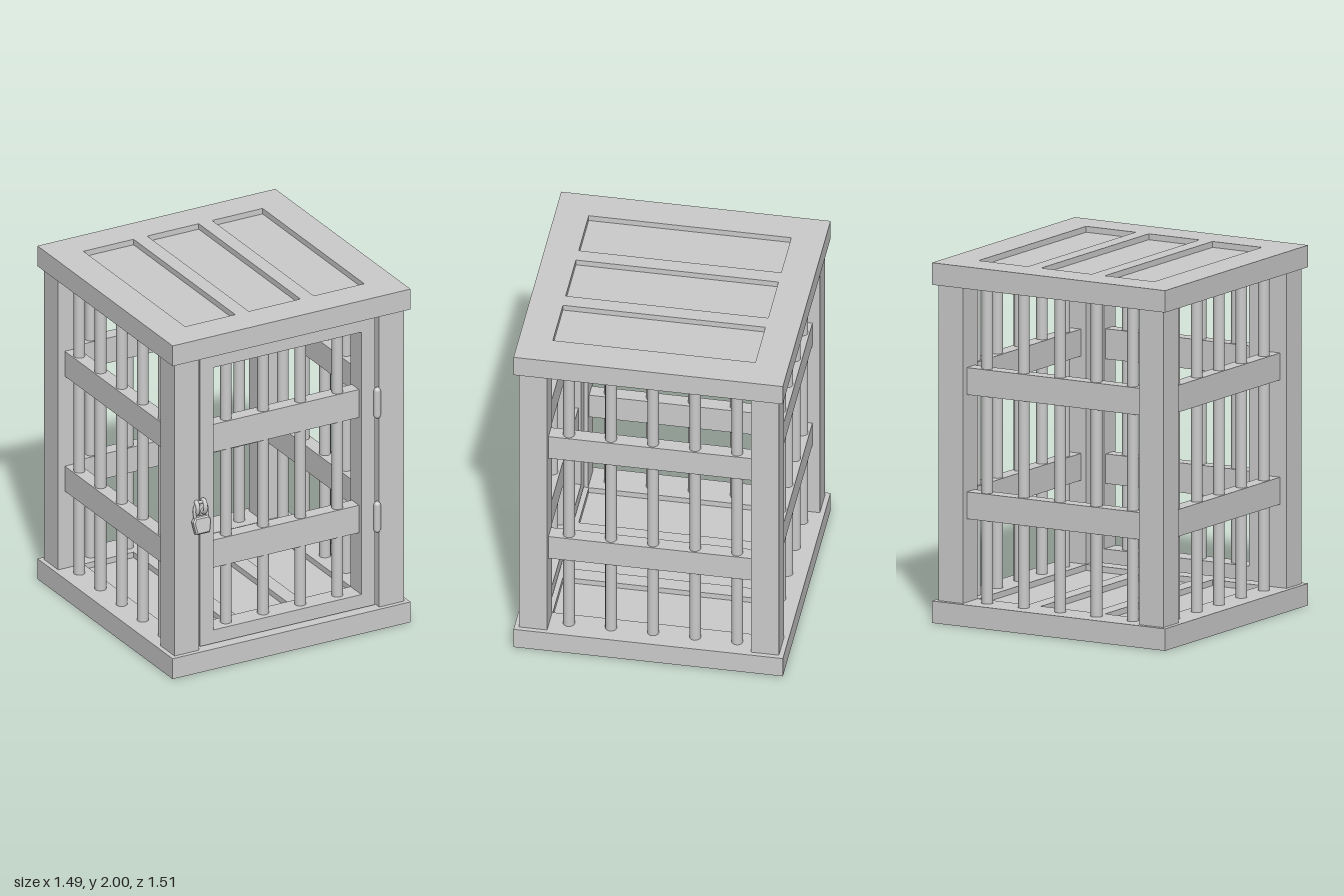
import * as THREE from 'three';

export function createModel() {
  const group = new THREE.Group();
  const cage = new THREE.Group();
  cage.name = 'cage';
  cage.position.z = -0.005;
  group.add(cage);
  const grey = new THREE.MeshStandardMaterial({ color: 0xcccccc });
  grey.name = 'grey';

  const add = (parent, name, geometry, x = 0, y = 0, z = 0) => {
    const mesh = new THREE.Mesh(geometry, grey);
    mesh.name = name;
    mesh.position.set(x, y, z);
    parent.add(mesh);
    return mesh;
  };
  // Box given by its minimum and maximum on each axis
  const box = (parent, name, x0, x1, y0, y1, z0, z1) =>
    add(parent, name, new THREE.BoxGeometry(x1 - x0, y1 - y0, z1 - z0),
      (x0 + x1) / 2, (y0 + y1) / 2, (z0 + z1) / 2);
  const bar = (parent, name, x, z, y0, y1) =>
    add(parent, name, new THREE.CylinderGeometry(0.032, 0.032, y1 - y0, 16, 1, true), x, (y0 + y1) / 2, z);
  const rect = (target, x0, x1, y0, y1) => {
    target.moveTo(x0, y0);
    target.lineTo(x1, y0);
    target.lineTo(x1, y1);
    target.lineTo(x0, y1);
    target.closePath();
    return target;
  };

  // Floor and roof: a frame with three sunken panels on either face
  const slabShape = rect(new THREE.Shape(), -0.745, 0.745, -0.745, 0.745);
  const openings = [[-0.562, -0.248], [-0.163, 0.16], [0.244, 0.56]];
  for (const [x0, x1] of openings) slabShape.holes.push(rect(new THREE.Path(), x0, x1, -0.56, 0.56));
  const slabGeometry = new THREE.ExtrudeGeometry(slabShape, { depth: 0.122, bevelEnabled: false });
  slabGeometry.rotateX(-Math.PI / 2);
  for (const [name, y] of [['floor', 0], ['roof', 1.878]]) {
    add(cage, name + 'Frame', slabGeometry, 0, y, 0);
    for (const [x0, x1] of openings)
      box(cage, name + 'Panel', x0, x1, y + 0.033, y + 0.089, -0.56, 0.56);
  }

  // Corner posts
  for (const sx of [-1, 1])
    for (const sz of [-1, 1])
      add(cage, 'cornerPost', new THREE.BoxGeometry(0.155, 1.756, 0.155), sx * 0.641, 1, sz * 0.641);

  // Barred walls on both sides and at the back
  for (const [name, turn] of [['leftWall', Math.PI / 2], ['rightWall', -Math.PI / 2], ['backWall', Math.PI]]) {
    const wall = new THREE.Group();
    wall.name = name;
    wall.rotation.y = turn;
    cage.add(wall);
    for (const y of [0.585, 1.275]) box(wall, 'wallRail', -0.564, 0.564, y, y + 0.15, 0.595, 0.677);
    for (let i = -2; i <= 2; i++) {
      const shift = turn === -Math.PI / 2 ? -0.008 : 0.008;
      bar(wall, 'wallBar', i * 0.2325 + shift, 0.637, 0.122, 1.878);
    }
  }

  // Door frame, rails and bars
  const door = new THREE.Group();
  door.name = 'door';
  cage.add(door);
  const doorShape = rect(new THREE.Shape(), -0.55, 0.545, 0.135, 1.87);
  doorShape.holes.push(rect(new THREE.Path(), -0.465, 0.46, 0.215, 1.79));
  add(door, 'doorFrame', new THREE.ExtrudeGeometry(doorShape, { depth: 0.12, bevelEnabled: false }), 0, 0, 0.585);
  for (const [y0, y1] of [[0.575, 0.74], [1.267, 1.435]])
    box(door, 'doorRail', -0.465, 0.46, y0, y1, 0.6, 0.678);
  for (let i = 0; i < 4; i++) bar(door, 'doorBar', -0.353 + i * 0.2325, 0.642, 0.215, 1.79);

  // Hinges
  for (const y of [0.662, 1.347])
    add(cage, 'hinge', new THREE.CapsuleGeometry(0.02, 0.146, 4, 12), 0.555, y, 0.711);

  // Padlock hanging from two staples
  const lock = new THREE.Group();
  lock.name = 'padlock';
  lock.position.set(-0.562, 0.98, 0.715);
  cage.add(lock);
  for (const x of [-0.022, 0.026]) {
    const staple = add(lock, 'staple', new THREE.TorusGeometry(0.034, 0.013, 8, 20), x, 0, 0);
    staple.rotation.y = Math.PI / 2;
    staple.scale.set(0.75, 1.05, 1);
  }
  const hanging = new THREE.Group();
  hanging.name = 'hangingLock';
  hanging.rotation.x = -0.15;
  hanging.position.z = 0.012;
  lock.add(hanging);
  const bodyShape = new THREE.Shape([
    [-0.036, -0.138], [0.036, -0.138], [0.048, -0.075], [0.036, -0.056], [-0.036, -0.056], [-0.048, -0.075],
  ].map(([x, y]) => new THREE.Vector2(x, y)));
  add(hanging, 'lockBody', new THREE.ExtrudeGeometry(bodyShape, {
    depth: 0.022, bevelThickness: 0.008, bevelSize: 0.008, bevelSegments: 1,
  }), 0, 0, -0.011);
  const shackle = new THREE.CatmullRomCurve3([
    [-0.036, -0.06], [-0.038, -0.01], [-0.022, 0.024], [0.004, 0.032], [0.028, 0.022], [0.042, -0.01], [0.038, -0.06],
  ].map(([x, y]) => new THREE.Vector3(x, y, 0)));
  add(hanging, 'shackle', new THREE.TubeGeometry(shackle, 24, 0.009, 8), 0, 0, 0);

  return group;
}
